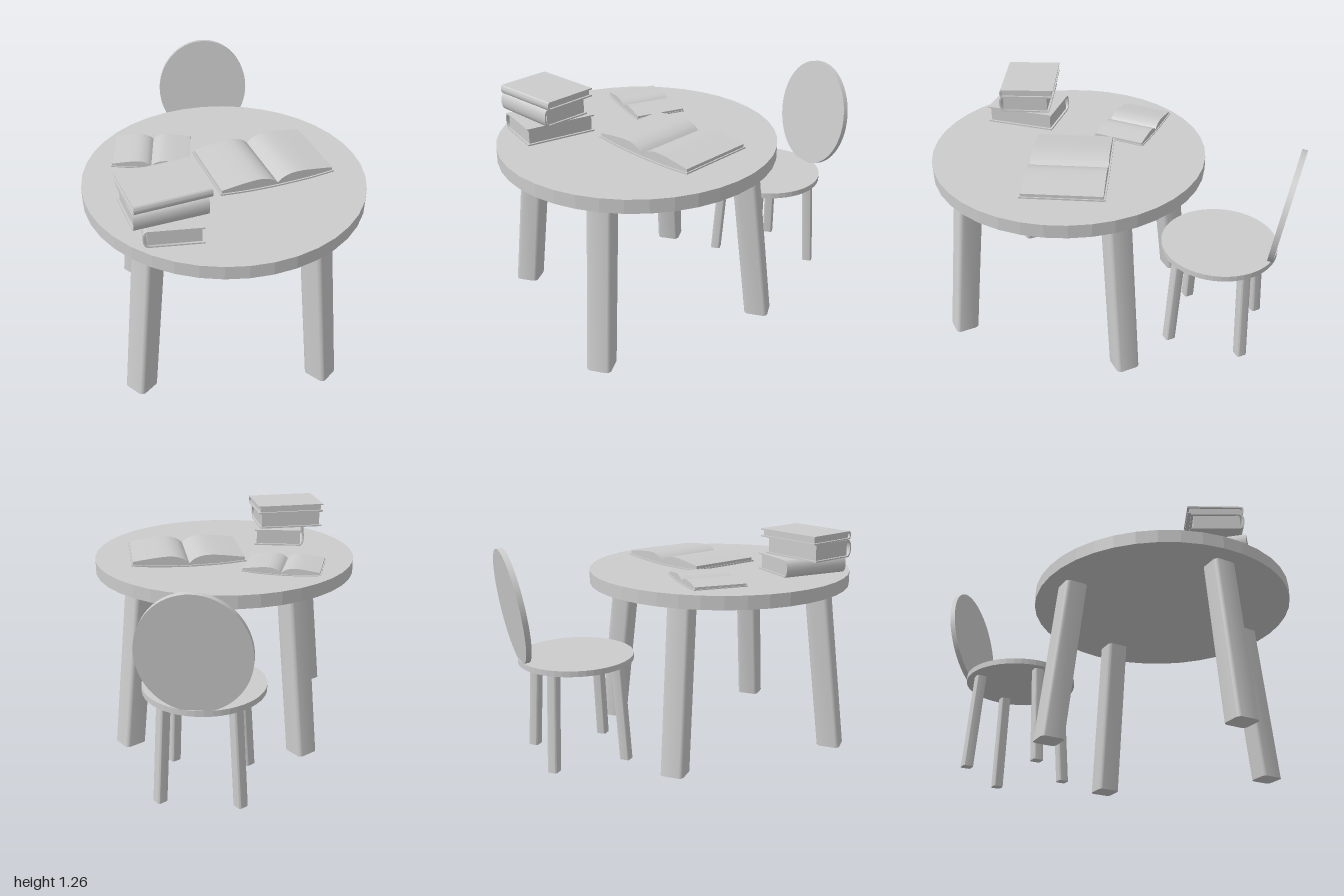
import * as THREE from 'three';
import { toCreasedNormals } from 'three/addons/utils/BufferGeometryUtils.js';

const material = new THREE.MeshStandardMaterial({ color: 0xcccccc });
const flatMaterial = new THREE.MeshStandardMaterial({ color: 0xcccccc, flatShading: true });
const rad = THREE.MathUtils.degToRad;
const TABLE_TOP = 1.022;

function add(parent, name, geometry, mat = material) {
  const mesh = new THREE.Mesh(geometry, mat);
  mesh.name = name;
  parent.add(mesh);
  return mesh;
}

function group(parent, name, x, y, z, degrees = 0) {
  const g = new THREE.Group();
  g.name = name;
  g.position.set(x, y, z);
  g.rotation.y = rad(degrees);
  parent.add(g);
  return g;
}

// Extrude a shape by a depth centred on z = 0
function slab(shape, depth) {
  const geo = new THREE.ExtrudeGeometry(shape, { depth, bevelEnabled: false, curveSegments: 8 });
  geo.translate(0, 0, -depth / 2);
  return toCreasedNormals(geo, rad(35));
}

function roundedSquare(w, r) {
  const s = new THREE.Shape();
  const h = w / 2 - r;
  s.absarc(h, h, r, 0, Math.PI / 2);
  s.absarc(-h, h, r, Math.PI / 2, Math.PI);
  s.absarc(-h, -h, r, Math.PI, Math.PI * 1.5);
  s.absarc(h, -h, r, Math.PI * 1.5, Math.PI * 2);
  return s;
}

// Four splayed legs: sheared so that the feet stay flat on the floor
function addLegs(parent, name, width, height, footRadius, topRadius) {
  const geo = new THREE.ExtrudeGeometry(roundedSquare(width, width * 0.2), {
    depth: height, bevelEnabled: false, curveSegments: 3,
  });
  geo.rotateX(-Math.PI / 2);
  const p = geo.attributes.position;
  for (let i = 0; i < p.count; i++) {
    p.setX(i, p.getX(i) + THREE.MathUtils.lerp(footRadius, topRadius, p.getY(i) / height));
  }
  const legGeo = toCreasedNormals(geo, rad(35));
  for (let i = 0; i < 4; i++) add(parent, name, legGeo).rotation.y = rad(15 + 90 * i);
}

function addTable(parent) {
  const table = group(parent, 'table', -0.056, 0, 0.235);
  const top = add(table, 'tableTop', new THREE.CylinderGeometry(0.762, 0.762, 0.075, 40), flatMaterial);
  top.position.y = TABLE_TOP - 0.0375;
  addLegs(table, 'tableLeg', 0.134, 0.95, 0.71, 0.597);
}

function addChair(parent) {
  const chair = group(parent, 'chair', 0.39, 0, -0.537);
  const seat = add(chair, 'seat', new THREE.CylinderGeometry(0.325, 0.325, 0.032, 48), flatMaterial);
  seat.position.y = 0.579;
  addLegs(chair, 'chairLeg', 0.059, 0.566, 0.298, 0.258);

  // Oval backrest, turned to the seat and leaning back
  const geo = new THREE.CylinderGeometry(1, 1, 0.03, 64);
  geo.rotateX(Math.PI / 2);
  geo.scale(0.285, 0.32, 1);
  geo.rotateX(rad(-8));
  const back = add(chair, 'backrest', geo);
  back.position.set(0.1725, 0.903, -0.3005);
  back.rotation.y = rad(-30);
}

// Closed book with its rounded spine towards local +z
function addClosedBook(parent, w, d, h, x, y, z, degrees) {
  const book = group(parent, 'closedBook', x, y, z, degrees);
  const t = 0.008;
  const bulge = h * 0.22;
  const e = d / 2;
  const c = new THREE.Shape();
  c.moveTo(-e, 0);
  c.lineTo(e - bulge, 0);
  c.bezierCurveTo(e + bulge / 3, h * 0.12, e + bulge / 3, h * 0.88, e - bulge, h);
  c.lineTo(-e, h);
  c.lineTo(-e, h - t);
  c.lineTo(e - bulge - t, h - t);
  c.bezierCurveTo(e + bulge / 3 - t, h * 0.82, e + bulge / 3 - t, h * 0.18, e - bulge - t, t);
  c.lineTo(-e, t);
  c.closePath();
  add(book, 'bookCover', slab(c, w).rotateY(-Math.PI / 2));
  const depth = d - bulge - 0.014;
  const pages = add(book, 'bookPages', new THREE.BoxGeometry(w - 0.024, h - 2 * t, depth));
  pages.position.set(0, h / 2, -e + 0.012 + depth / 2);
}

// Closed strip between an upper and a lower curve, mirrored about the gutter
function wingShape(upper, lower) {
  const full = (half) => {
    const right = half.map(([x, y]) => new THREE.Vector2(x, y));
    const left = half.slice(1).reverse().map(([x, y]) => new THREE.Vector2(-x, y));
    const sample = (pts) => new THREE.SplineCurve(pts).getPoints(16);
    // Each side is its own curve, so the gutter stays a sharp fold
    return [...sample([...left, right[0]]), ...sample(right).slice(1)];
  };
  return new THREE.Shape([...full(lower), ...full(upper).reverse()]);
}

// Open book lying flat, pages arching away from the gutter
function addOpenBook(parent, x, z, degrees, scale) {
  const book = group(parent, 'openBook', x, TABLE_TOP, z, degrees);
  book.scale.setScalar(scale);
  const pageTop = [[0, 0.02], [0.03, 0.044], [0.08, 0.061], [0.14, 0.063], [0.22, 0.055], [0.318, 0.042]];
  const pageBase = [[0, 0.009], [0.1, 0.011], [0.2, 0.015], [0.318, 0.025]];
  const coverTop = [[0, 0.009], [0.1, 0.011], [0.2, 0.015], [0.326, 0.026]];
  const coverBase = [[0, 0.001], [0.1, 0.003], [0.2, 0.007], [0.326, 0.018]];
  add(book, 'openPages', slab(wingShape(pageTop, pageBase), 0.426));
  add(book, 'openCover', slab(wingShape(coverTop, coverBase), 0.443));
}

export function createModel() {
  const model = new THREE.Group();
  model.name = 'tableWithChairAndBooks';
  addTable(model);
  addChair(model);

  // Stack of three closed books
  addClosedBook(model, 0.395, 0.3, 0.096, -0.515, TABLE_TOP, 0.41, -118);
  addClosedBook(model, 0.385, 0.29, 0.098, -0.553, 1.118, 0.405, -14.5);
  addClosedBook(model, 0.4, 0.31, 0.047, -0.54, 1.216, 0.393, -13);

  // Large and small open books
  addOpenBook(model, 0.177, 0.27, -15, 1);
  addOpenBook(model, -0.25, -0.172, -35, 0.67);
  return model;
}
